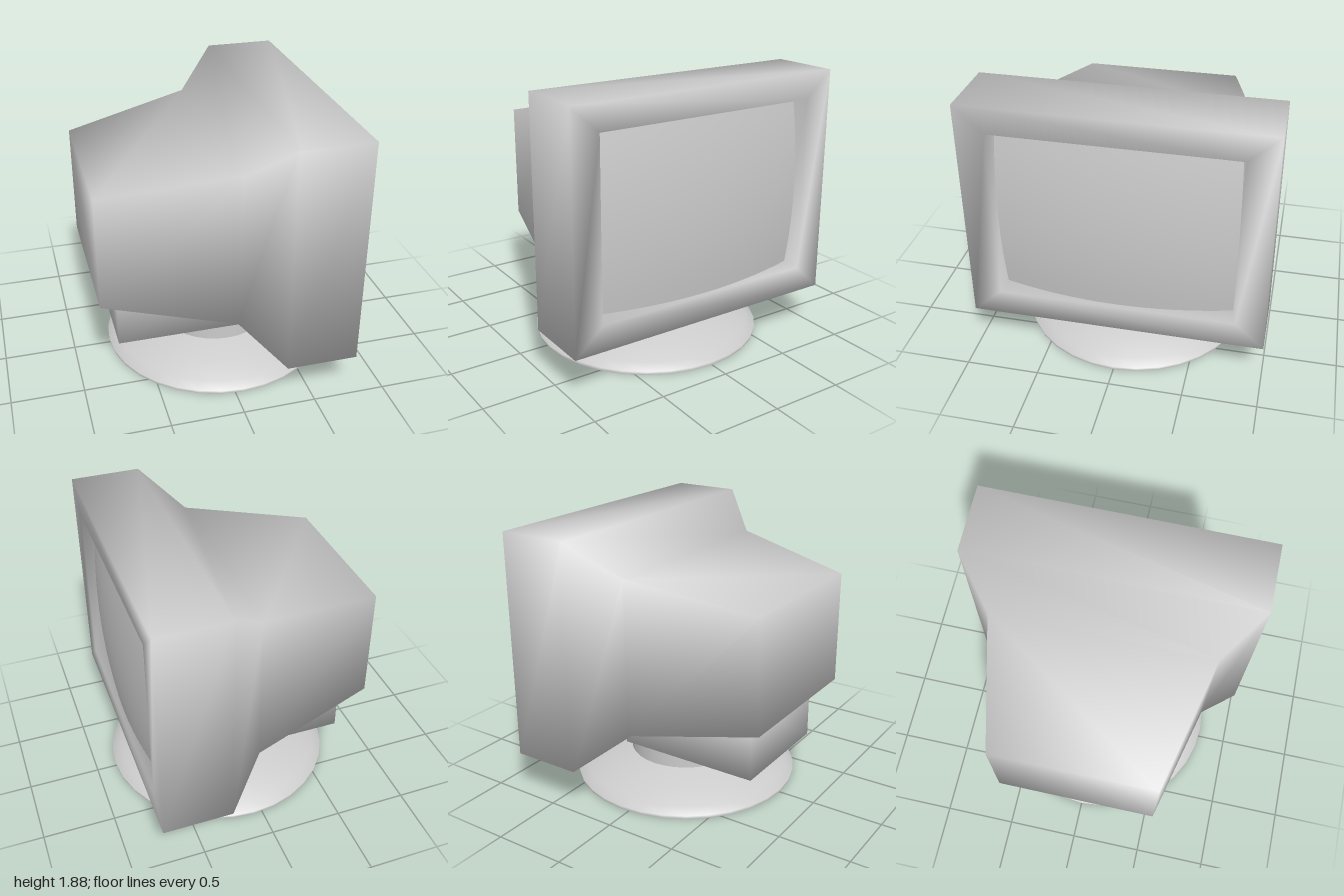
import * as THREE from 'three';

const material = new THREE.MeshStandardMaterial({ color: 0xcccccc });

// Closed, smooth-shaded skin over rectangular sections along x: [x, yLow, yHigh, halfDepth]
function loft(sections) {
  const points = [], index = [];
  for (const [x, y0, y1, d] of sections) {
    points.push(x, y0, d, x, y0, -d, x, y1, -d, x, y1, d);
  }
  for (let s = 0; s < sections.length - 1; s++) {
    for (let i = 0; i < 4; i++) {
      const a = s * 4 + i, b = s * 4 + (i + 1) % 4;
      index.push(a, b, a + 4, b, b + 4, a + 4);
    }
  }
  const e = (sections.length - 1) * 4;
  index.push(0, 2, 1, 0, 3, 2, e, e + 1, e + 2, e, e + 2, e + 3);
  const geometry = new THREE.BufferGeometry();
  geometry.setAttribute('position', new THREE.Float32BufferAttribute(points, 3));
  geometry.setIndex(index);
  geometry.computeVertexNormals();
  return geometry;
}

export function createModel() {
  const group = new THREE.Group();
  const add = (name, geometry) => {
    const mesh = new THREE.Mesh(geometry, material);
    mesh.name = name;
    group.add(mesh);
    return mesh;
  };

  // Tapered housing, flat bezel and the recess behind the screen
  add('housing', loft([
    [-0.86, 0.70, 1.49, 0.555],
    [0.02, 0.55, 1.635, 0.76],
    [0.295, 0.305, 1.88, 1],
    [0.78, 0.305, 1.88, 1],
    [0.78, 0.485, 1.7, 0.803],
    [0.64, 0.52, 1.665, 0.768],
  ]));

  // Bulging screen, its rim buried in the recess walls
  const screen = new THREE.PlaneGeometry(1.61, 1.22, 16, 12);
  const p = screen.attributes.position;
  for (let i = 0; i < p.count; i++) {
    const u = p.getX(i), v = p.getY(i);
    p.setZ(i, 0.805 - (u * u + v * v) / 7.4);
  }
  screen.rotateY(Math.PI / 2);
  screen.computeVertexNormals();
  add('screen', screen).position.y = 1.095;

  // Block under the rear of the housing
  add('lowerBlock', loft([
    [-0.73, 0.285, 0.8, 0.415],
    [0.295, 0.285, 0.8, 0.415],
  ]));

  // Round foot with a swivel neck
  const profile = [
    [0, 0], [0.795, 0], [0.8, 0.025], [0.735, 0.058], [0.6, 0.122],
    [0.4, 0.172], [0.4, 0.172], [0.4, 0.285], [0.4, 0.285], [0, 0.285],
  ].map(([r, y]) => new THREE.Vector2(r, y));
  const halves = [[0, 2], [1, 6], [6, 8], [8, 10]];
  const names = ['footUnderside', 'foot', 'neck', 'neckTop'];
  halves.forEach(([from, to], i) => {
    add(names[i], new THREE.LatheGeometry(profile.slice(from, to), 32)).position.x = 0.06;
  });

  return group;
}
